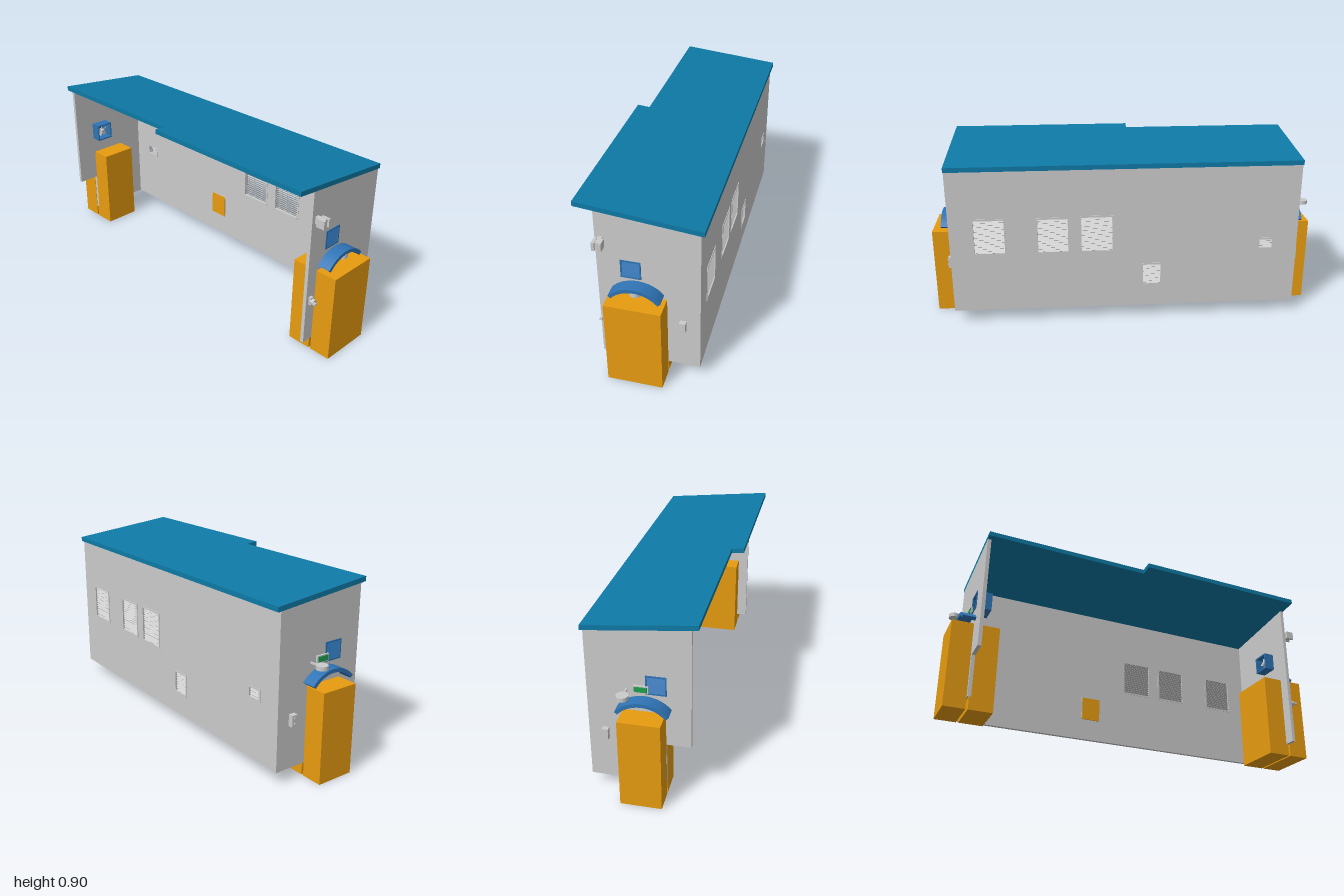
import * as THREE from 'three';

const mat = (color) => new THREE.MeshStandardMaterial({ color, flatShading: true, side: THREE.DoubleSide });
const grey = mat(0xcccccc), teal = mat(0x0e7aa6), blue = mat(0x2f74b5), orange = mat(0xe89c10), green = mat(0x1fa050);

export function createModel() {
  const root = new THREE.Group();

  const add = (name, geo, material, parent = root) => {
    const m = new THREE.Mesh(geo, material);
    m.name = name;
    parent.add(m);
    return m;
  };
  // Box given by its limits along each axis
  const box = (name, material, x0, x1, y0, y1, z0, z1, parent = root) => {
    const m = add(name, new THREE.BoxGeometry(Math.abs(x1 - x0), y1 - y0, Math.abs(z1 - z0)), material, parent);
    m.position.set((x0 + x1) / 2, (y0 + y1) / 2, (z0 + z1) / 2);
    return m;
  };
  const polygon = (pts) => new THREE.Shape(pts.map(([x, y]) => new THREE.Vector2(x, y)));
  const rectHole = (x0, x1, y0, y1) =>
    new THREE.Path([[x0, y0], [x0, y1], [x1, y1], [x1, y0]].map(([x, y]) => new THREE.Vector2(x, y)));
  const extrude = (shape, depth) => new THREE.ExtrudeGeometry(shape, { depth, bevelEnabled: false, curveSegments: 24 });

  // Sloped roof in two lengths, the front one overhanging further
  const roofY = (x) => 0.875 - 0.1025 * x;
  const roof = (name, x0, z0, z1) => {
    const s = polygon([[x0, roofY(x0) - 0.024], [0.29, roofY(0.29) - 0.024], [0.29, roofY(0.29)], [x0, roofY(x0)]]);
    add(name, extrude(s, z1 - z0), teal).position.z = z0;
  };
  roof('frontRoof', -0.292, -0.04, 0.89);
  roof('backRoof', -0.23, -0.89, -0.04);

  // End walls, following the roof slope; the back one is cut away beside its door
  const wallTop = [[0.275, roofY(0.275) - 0.024], [-0.2, roofY(-0.2) - 0.024]];
  const front = polygon([[-0.2, 0.065], [0.275, 0.065], ...wallTop]);
  const back = polygon([[-0.2, 0.28], [-0.085, 0.28], [-0.085, 0.065], [0.275, 0.065], ...wallTop]);
  for (const s of [front, back]) s.holes.push(rectHole(-0.085, 0, 0.543, 0.627));
  add('frontWall', extrude(front, 0.018), grey).position.z = 0.872;
  add('backWall', extrude(back, 0.018), grey).position.z = -0.89;

  // Long side wall with openings: [z0, z1, y0, y1, slat count]
  const vents = [
    [0.605, 0.775, 0.375, 0.57, 15], [0.285, 0.455, 0.375, 0.57, 15], [0.06, 0.235, 0.375, 0.575, 15],
    [-0.19, -0.08, 0.18, 0.305, 8], [-0.77, -0.685, 0.365, 0.428, 5],
  ];
  const side = polygon([[-0.872, 0.065], [0.872, 0.065], [0.872, 0.823], [-0.872, 0.823]]);
  for (const [z0, z1, y0, y1] of vents) side.holes.push(rectHole(-z1 + 0.006, -z0 - 0.006, y0 + 0.006, y1 - 0.006));
  const sideGeo = extrude(side, 0.018);
  sideGeo.rotateY(Math.PI / 2);
  add('sideWall', sideGeo, grey).position.x = 0.257;

  // Framed louvres, the outer edge of each slat lower
  for (const [z0, z1, y0, y1, n] of vents) {
    const g = new THREE.Group();
    g.name = 'sideLouvre';
    root.add(g);
    const f = 0.009;
    box('frameBottom', grey, 0.255, 0.278, y0, y0 + f, z0, z1, g);
    box('frameTop', grey, 0.255, 0.278, y1 - f, y1, z0, z1, g);
    box('frameSide', grey, 0.255, 0.278, y0 + f, y1 - f, z0, z0 + f, g);
    box('frameSide', grey, 0.255, 0.278, y0 + f, y1 - f, z1 - f, z1, g);
    const step = (y1 - y0 - 2 * f) / n;
    for (let i = 0; i < n; i++) {
      const slat = add('slat', new THREE.BoxGeometry(0.017, 0.0015, z1 - z0 - 2 * f), grey, g);
      slat.position.set(0.266, y0 + f + (i + 0.5) * step, (z0 + z1) / 2);
      slat.rotation.z = -0.75;
    }
  }
  box('filterPlate', orange, 0.252, 0.256, 0.18, 0.305, -0.185, -0.085);

  // Doors: an outer and an inner block on each end
  box('frontDoorOuter', orange, -0.143, 0.122, 0, 0.448, 0.893, 1);
  box('frontDoorInner', orange, -0.143, 0.122, 0, 0.448, 0.762, 0.882);
  box('backDoorOuter', orange, -0.085, 0.11, 0, 0.448, -1, -0.893);
  box('backDoorInner', orange, -0.085, 0.11, 0, 0.448, -0.882, -0.762);

  // Fittings shared by both ends; s is the direction facing outwards
  for (const s of [1, -1]) {
    const end = new THREE.Group();
    end.name = s > 0 ? 'frontFittings' : 'backFittings';
    root.add(end);

    // Arched canopy over the door
    const a = 0.87, arch = new THREE.Shape();
    arch.absarc(0, 0, 0.159, Math.PI / 2 - a, Math.PI / 2 + a, false);
    arch.absarc(0, 0, 0.141, Math.PI / 2 + a, Math.PI / 2 - a, true);
    add('canopy', extrude(arch, 0.066), blue, end).position.set(s > 0 ? -0.013 : 0.01, 0.367, s > 0 ? 0.89 : -0.956);

    // Ventilator: duct, outer slats and fan
    box('ductTop', blue, -0.09, 0.005, 0.625, 0.632, s * 0.815, s * 0.894, end);
    box('ductBottom', blue, -0.09, 0.005, 0.538, 0.545, s * 0.815, s * 0.894, end);
    for (const x of [-0.09, -0.002]) box('ductSide', blue, x, x + 0.007, 0.545, 0.625, s * 0.815, s * 0.894, end);
    for (let i = 0; i < 5; i++) {
      const slat = add('ventSlat', new THREE.BoxGeometry(0.092, 0.02, 0.0015), blue, end);
      slat.position.set(-0.0425, 0.552 + i * 0.0165, s * 0.889);
      slat.rotation.x = -s * 0.4;
    }
    const fan = new THREE.Group();
    fan.name = 'fan';
    fan.position.set(-0.0425, 0.585, s * 0.845);
    end.add(fan);
    const hub = add('hub', new THREE.CylinderGeometry(0.011, 0.011, 0.03, 16), grey, fan);
    hub.rotation.x = Math.PI / 2;
    for (let i = 0; i < 5; i++) {
      const blade = new THREE.BoxGeometry(0.018, 0.028, 0.002);
      blade.rotateY(0.5);
      blade.translate(0, 0.022, 0);
      blade.rotateZ((i * Math.PI * 2) / 5);
      add('blade', blade, grey, fan);
    }

    // Two-button switch box
    box('switchBox', grey, 0.18, 0.21, 0.28, 0.337, s * 0.89, s * 0.914, end);
    for (const y of [0.295, 0.322]) {
      const b = add('button', new THREE.CylinderGeometry(0.005, 0.005, 0.006, 16), grey, end);
      b.rotation.x = Math.PI / 2;
      b.position.set(0.195, y, s * 0.915);
    }
  }

  // Lamp below the front canopy
  add('canopyLamp', new THREE.CylinderGeometry(0.028, 0.028, 0.022, 24), grey).position.set(-0.011, 0.497, 0.93);
  box('lampBracket', grey, -0.02, -0.002, 0.502, 0.512, 0.89, 0.925);

  // Camera high on the front wall
  box('cameraLeftPlate', grey, -0.161, -0.15, 0.705, 0.747, 0.908, 0.95);
  box('cameraRightPlate', grey, -0.195, -0.181, 0.705, 0.747, 0.908, 0.95);
  box('cameraBody', grey, -0.181, -0.161, 0.708, 0.744, 0.89, 0.94);

  // Tap beside the front door
  const tap = add('tapKnob', new THREE.CylinderGeometry(0.014, 0.014, 0.02, 16), grey);
  tap.rotation.x = Math.PI / 2;
  tap.position.set(-0.174, 0.3, 0.91);
  box('tapBody', grey, -0.183, -0.165, 0.28, 0.32, 0.89, 0.905);
  box('tapLever', grey, -0.19, -0.178, 0.295, 0.305, 0.915, 0.935);

  // Disc lamp on an arm and lit sign above the back door
  add('discLamp', new THREE.CylinderGeometry(0.028, 0.028, 0.02, 24), grey).position.set(0.09, 0.555, -0.96);
  box('lampArm', grey, 0.086, 0.094, 0.55, 0.558, -0.96, -0.89);
  box('signCase', grey, -0.01, 0.06, 0.545, 0.58, -0.9, -0.89);
  box('signFace', green, -0.004, 0.054, 0.55, 0.575, -0.903, -0.9);

  return root;
}
